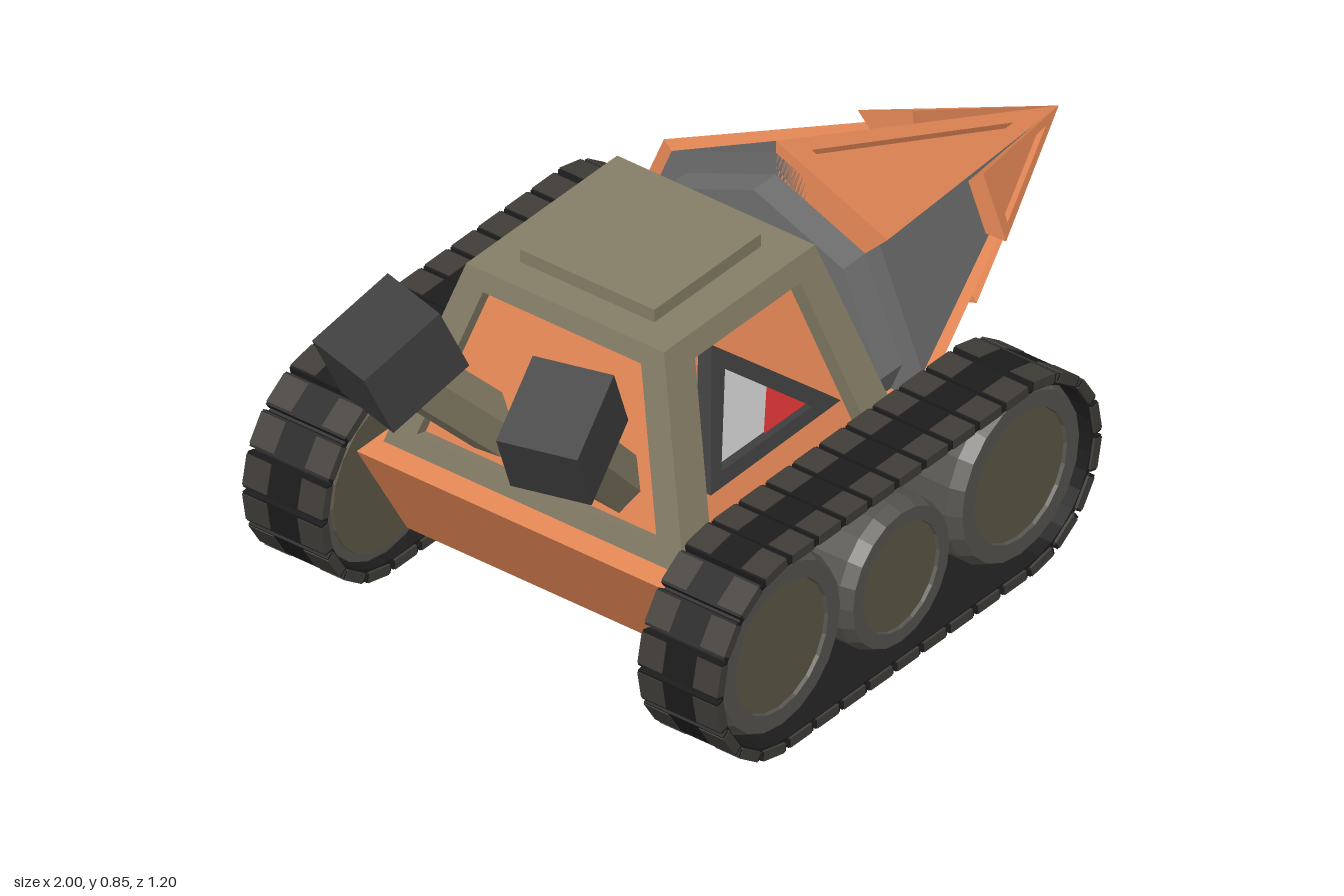
import * as THREE from 'three';

const mat = (color, side = THREE.FrontSide) =>
  new THREE.MeshStandardMaterial({ color, side, flatShading: true });
const ORANGE = mat(0xe98a58), OLIVE = mat(0x857d66), GREY = mat(0x6e6e6e), DARK = mat(0x3e3e3e);
const BLACK = mat(0x1c1c1c), PAD = mat(0x403d38), RIM = mat(0x55534d), HUB = mat(0x5c5646);
const GLASS = mat(0xbcbcbc, THREE.DoubleSide), RED = mat(0xdc3434, THREE.DoubleSide);
const V = (x, y, z) => new THREE.Vector3(x, y, z);

function add(parent, name, geometry, material, x = 0, y = 0, z = 0) {
  const m = new THREE.Mesh(geometry, material);
  m.name = name;
  m.position.set(x, y, z);
  parent.add(m);
  return m;
}

// Flat convex faces, each a counter-clockwise list of corners
function faces(list) {
  const pts = [];
  for (const f of list)
    for (let i = 1; i < f.length - 1; i++) pts.push(f[0], f[i], f[i + 1]);
  const g = new THREE.BufferGeometry().setFromPoints(pts);
  g.computeVertexNormals();
  return g;
}

// A border around a sunken panel: returns border faces and the panel face
function sunken(outer, inner, depth) {
  const n = V().crossVectors(outer[1].clone().sub(outer[0]), outer[2].clone().sub(outer[0])).normalize();
  const low = inner.map(p => p.clone().addScaledVector(n, -depth));
  const border = [];
  outer.forEach((p, i) => {
    const j = (i + 1) % outer.length;
    border.push([p, outer[j], inner[j], inner[i]], [inner[i], inner[j], low[j], low[i]]);
  });
  return { border, panel: low };
}

function polygon(points) {
  return new THREE.Shape(points.map(([x, y]) => new THREE.Vector2(x, y)));
}

// Cabin: tapered shell with sunken side and rear panels
const sideZ = y => 0.38 - (y - 0.35) * 0.13 / 0.43;
function lean(geometry, offset) {
  const p = geometry.attributes.position;
  for (let i = 0; i < p.count; i++) p.setZ(i, p.getZ(i) + sideZ(p.getY(i)) + offset);
  geometry.computeVertexNormals();
  return geometry;
}

function buildCabin() {
  const cabin = new THREE.Group();
  cabin.name = 'cabin';
  const b = (x, s) => V(x, 0.35, 0.38 * s), t = (x, s) => V(x, 0.78, 0.25 * s);
  const x0 = -0.68, x1 = 0.01, t0 = -0.58, t1 = -0.1;

  add(cabin, 'cabinShell', faces([
    [b(x1, 1), b(x1, -1), t(t1, -1), t(t1, 1)],
    [t(t0, 1), t(t1, 1), t(t1, -1), t(t0, -1)],
  ]), OLIVE);
  add(cabin, 'roofHatch', new THREE.BoxGeometry(0.34, 0.05, 0.34), OLIVE, -0.34, 0.785, 0);

  const rear = [b(x0, -1), b(x0, 1), t(t0, 1), t(t0, -1)];
  const mid = rear.reduce((a, p) => a.add(p), V()).multiplyScalar(0.25);
  const back = sunken(rear, rear.map(p => p.clone().lerp(mid, 0.2)), 0.03);
  add(cabin, 'rearFrame', faces(back.border), OLIVE);
  add(cabin, 'rearPanel', faces([back.panel]), ORANGE);

  for (const s of [1, -1]) {
    const side = new THREE.Group();
    side.name = s > 0 ? 'cabinSideA' : 'cabinSideB';
    side.scale.z = s;
    cabin.add(side);
    const inner = [[-0.585, 0.37], [-0.08, 0.37], [-0.165, 0.73], [-0.5, 0.73]]
      .map(([x, y]) => V(x, y, sideZ(y)));
    const f = sunken([b(x0, 1), b(x1, 1), t(t1, 1), t(t0, 1)], inner, 0.035);
    add(side, 'sideFrame', faces(f.border), OLIVE);
    add(side, 'sidePanel', faces([f.panel]), ORANGE);

    // Triangular window
    const hole = [[-0.505, 0.49], [-0.215, 0.49], [-0.425, 0.67]];
    const frame = polygon([[-0.55, 0.46], [-0.135, 0.465], [-0.445, 0.73]]);
    frame.holes.push(polygon(hole));
    add(side, 'windowFrame', lean(new THREE.ExtrudeGeometry(frame, { depth: 0.04, bevelEnabled: false }), -0.042), DARK);
    add(side, 'windowGlass', lean(new THREE.ShapeGeometry(polygon(hole)), -0.022), GLASS);
    add(side, 'windowRedCorner', lean(new THREE.ShapeGeometry(
      polygon([[-0.35, 0.49], [-0.215, 0.49], [-0.31, 0.572]])), -0.018), RED);
  }
  return cabin;
}

// Drill: eight-sided cone with raised triangular blades in two tiers
function blade(drill, name, x, r, from, to) {
  const at = (px, pr, deg) => {
    const a = THREE.MathUtils.degToRad(deg);
    return V(px, 0.42 + pr * Math.sin(a), pr * Math.cos(a));
  };
  const A = at(x, r, from), B = at(x, r, to), T = V(0.99, 0.42, 0);
  const outer = [A, T, B], base = [at(x, r * 0.7, from), V(0.9, 0.42, 0), at(x, r * 0.7, to)];
  const mix = (a, t, b) => V().addScaledVector(A, a).addScaledVector(T, t).addScaledVector(B, b);
  const f = sunken(outer, [mix(0.8, 0.08, 0.12), mix(0.1, 0.8, 0.1), mix(0.12, 0.08, 0.8)], 0.014);
  const walls = outer.map((p, i) => {
    const j = (i + 1) % 3;
    return [outer[j], p, base[i], base[j]];
  });
  add(drill, name, faces([...f.border, f.panel, ...walls]), ORANGE);
}

function buildDrill() {
  const drill = new THREE.Group();
  drill.name = 'drill';
  add(drill, 'drillCone', new THREE.ConeGeometry(0.372, 0.86, 8).rotateZ(-Math.PI / 2), GREY, 0.52, 0.42, 0);
  add(drill, 'drillDrum', new THREE.CylinderGeometry(0.32, 0.32, 0.1, 8).rotateZ(-Math.PI / 2), GREY, 0.07, 0.42, 0);
  for (let k = 0; k < 4; k++) {
    blade(drill, 'largeBlade', 0.09, 0.4, 45 + 90 * k, 90 + 90 * k);
    blade(drill, 'smallBlade', 0.54, 0.225, 93 + 90 * k, 132 + 90 * k);
  }
  return drill;
}

// Track: belt, links spaced along the loop, and three wheels
const CX = [-0.62, 0.14], CY = 0.23;
function loop(r, Type) {
  const s = new Type();
  s.absarc(CX[1], CY, r, -Math.PI / 2, Math.PI / 2, false);
  s.absarc(CX[0], CY, r, Math.PI / 2, Math.PI * 1.5, false);
  s.closePath();
  return s;
}

function buildTrack(s) {
  const track = new THREE.Group();
  track.name = s > 0 ? 'trackA' : 'trackB';
  track.position.z = 0.5 * s;
  track.scale.z = s;

  const belt = loop(0.217, THREE.Shape);
  belt.holes.push(loop(0.205, THREE.Path));
  add(track, 'belt', new THREE.ExtrudeGeometry(belt, { depth: 0.19, bevelEnabled: false, curveSegments: 8 }), BLACK, 0, 0, -0.095);

  const path = loop(0.219, THREE.Path), count = 34;
  const link = new THREE.BoxGeometry(0.078, 0.018, 0.2), pad = new THREE.BoxGeometry(0.068, 0.022, 0.062);
  for (let i = 0; i < count; i++) {
    const u = (i + 0.5) / count, p = path.getPointAt(u), d = path.getTangentAt(u);
    const g = new THREE.Group();
    g.name = 'trackLink';
    g.position.set(p.x, p.y, 0);
    g.rotation.z = Math.atan2(d.y, d.x);
    add(g, 'linkPlate', link, BLACK);
    for (const e of [-1, 1]) add(g, 'linkPad', pad, PAD, 0, 0, 0.07 * e);
    track.add(g);
  }

  for (const [x, y, r] of [[CX[0], 0.235, 0.2], [-0.24, 0.197, 0.165], [CX[1], 0.235, 0.2]]) {
    const disc = (radius, depth) => new THREE.CylinderGeometry(radius, radius, depth, 20).rotateX(Math.PI / 2);
    const profile = [[0, -0.08], [r, -0.08], [r, 0.05], [r * 0.93, 0.08], [r * 0.74, 0.08], [r * 0.72, 0.06], [0, 0.06]]
      .map(([a, h]) => new THREE.Vector2(a, h));
    add(track, 'wheel', new THREE.LatheGeometry(profile, 20).rotateX(Math.PI / 2), RIM, x, y, 0);
    add(track, 'wheelHub', disc(r * 0.73, 0.02), HUB, x, y, 0.062);
    add(track, 'wheelInnerFace', disc(r * 0.9, 0.01), HUB, x, y, -0.083);
  }
  return track;
}

// Exhaust: slanted pipe with a tilted box on its end
function buildExhaust(s) {
  const exhaust = new THREE.Group();
  exhaust.name = s > 0 ? 'exhaustA' : 'exhaustB';
  const a = V(-0.58, 0.42, 0.15 * s), b = V(-0.85, 0.7, 0.215 * s), d = b.clone().sub(a);
  const pipe = add(exhaust, 'exhaustPipe', new THREE.CylinderGeometry(0.065, 0.065, d.length(), 6), OLIVE);
  pipe.position.copy(a).add(b).multiplyScalar(0.5);
  pipe.quaternion.setFromUnitVectors(V(0, 1, 0), d.normalize());
  const box = add(exhaust, 'exhaustBox', new THREE.BoxGeometry(0.205, 0.17, 0.175), DARK, -0.862, 0.73, 0.217 * s);
  box.rotation.set(0, 0.27 * s, 0.44, 'YXZ');
  return exhaust;
}

export function createModel() {
  const model = new THREE.Group();
  model.name = 'drillVehicle';
  const hull = polygon([[-0.74, 0.35], [-0.58, 0.08], [0.02, 0.08], [0.1, 0.35]]);
  add(model, 'chassis', new THREE.ExtrudeGeometry(hull, { depth: 0.8, bevelEnabled: false }), ORANGE, 0, 0, -0.4);
  model.add(buildCabin(), buildDrill());
  for (const s of [1, -1]) model.add(buildTrack(s), buildExhaust(s));
  return model;
}
